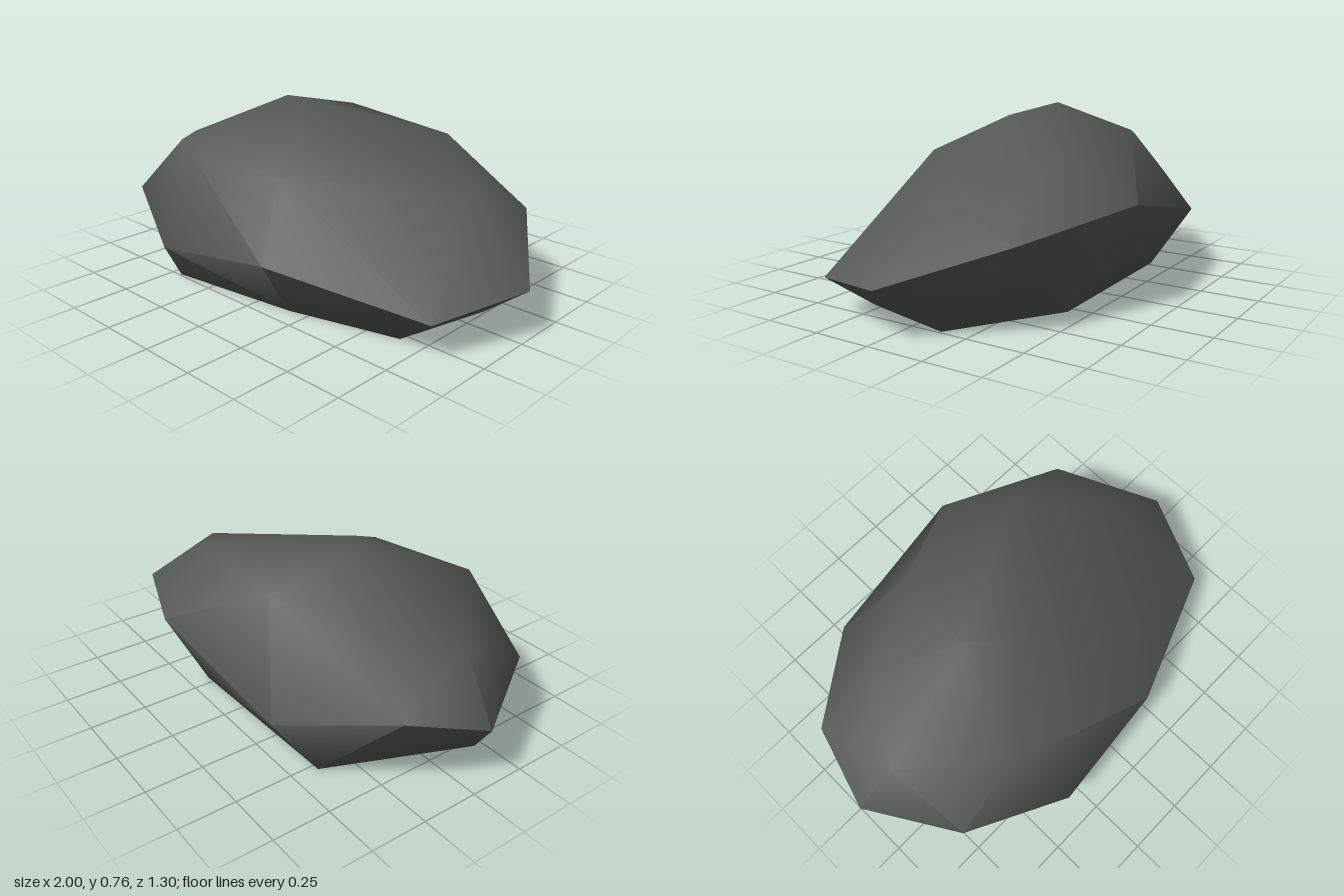
import * as THREE from 'three';
import { toCreasedNormals } from 'three/addons/utils/BufferGeometryUtils.js';
import { ConvexGeometry } from 'three/addons/geometries/ConvexGeometry.js';

const point = ([x, y, z]) => new THREE.Vector3(x, y, z);

// Flat footprint resting on the ground
const base = [
  [0.74, 0, -0.13], [0.29, 0, -0.41], [-0.53, 0, -0.39], [-0.79, 0, 0.21],
  [-0.45, 0, 0.49], [0.16, 0, 0.41], [0.64, 0, 0.285],
];

// Widest ring, wavering in height around the boulder
const rim = [
  [-1, 0.27, 0.06], [-0.89, 0.38, -0.28], [-0.51, 0.29, -0.59], [0.18, 0.44, -0.65],
  [0.72, 0.362, -0.44], [1, 0.21, -0.03], [0.84, 0.155, 0.36], [0.21, 0.27, 0.6],
  [-0.34, 0.21, 0.65], [-0.77, 0.33, 0.45],
];

// Upper shoulders and peak
const crown = [
  [-0.81, 0.52, 0.09], [-0.28, 0.76, -0.02], [-0.24, 0.665, -0.41], [0.35, 0.63, -0.37],
  [0.69, 0.5, -0.12], [-0.47, 0.61, 0.43], [-0.62, 0.59, -0.25], [-0.1, 0.71, 0.125],
  [0.1, 0.555, 0.4],
];

export function createModel() {
  const group = new THREE.Group();
  group.name = 'rock';
  const stone = new THREE.MeshStandardMaterial({ color: 0x555a55 });
  stone.name = 'dark stone';

  // Faceted hull, softened except along its strongest ridges
  const hull = new ConvexGeometry([...base, ...rim, ...crown].map(point));
  const boulder = new THREE.Mesh(toCreasedNormals(hull, 1.15), stone);
  boulder.name = 'boulder';
  group.add(boulder);
  return group;
}
